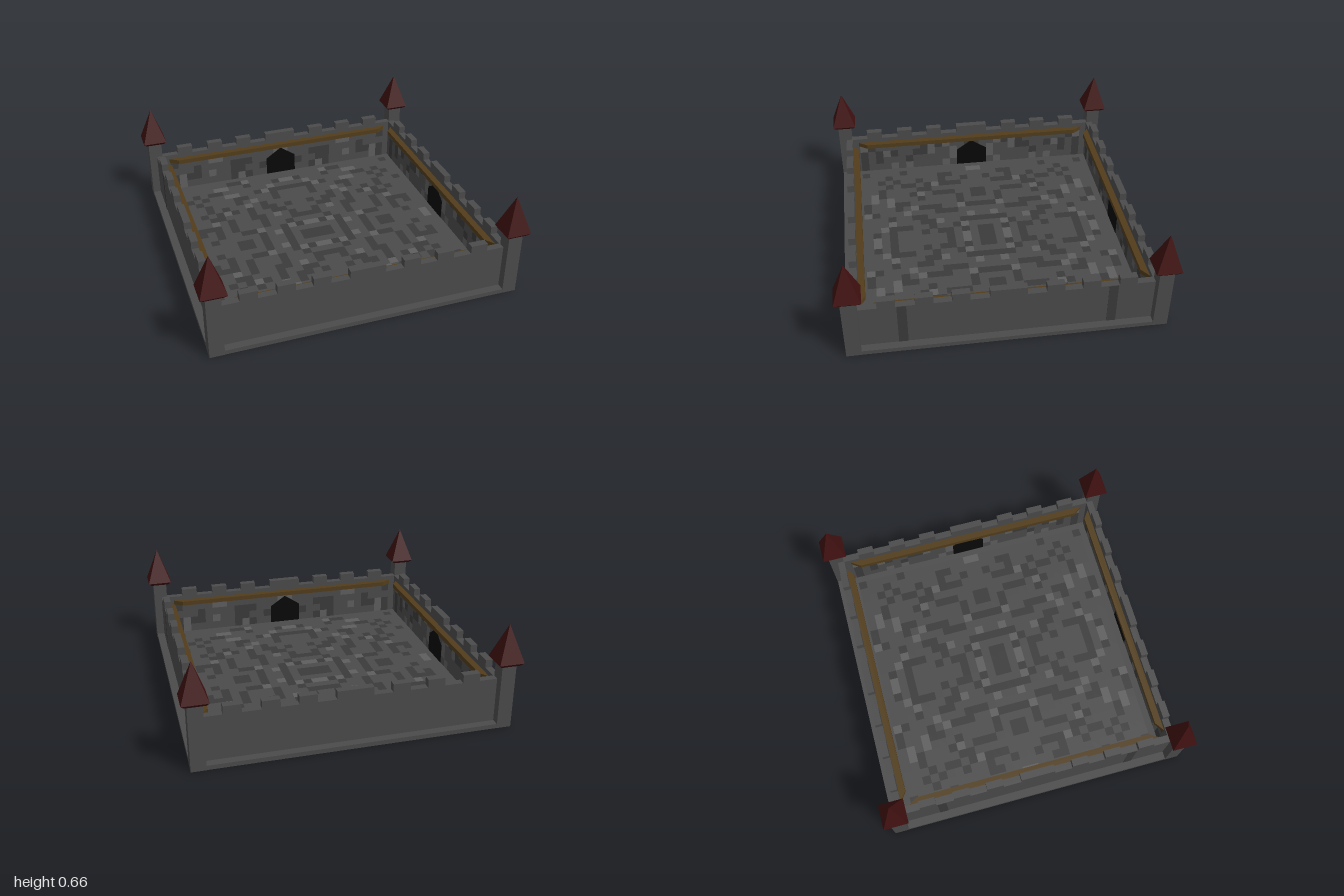
import * as THREE from 'three';
import { mergeGeometries } from 'three/addons/utils/BufferGeometryUtils.js';

const mat = (color) => new THREE.MeshStandardMaterial({ color, flatShading: true });
const stone = mat(0x4b4b4b), darkStone = mat(0x3b3b3b), paleStone = mat(0x5e5e5e);
const roofRed = mat(0x401010), wood = mat(0x523d1b), black = mat(0x080808);

const OUT = 0.965, WALL_OUT = 0.915, WALL_IN = 0.87, FLOOR = 0.028, WALL_TOP = 0.31;

function add(parent, name, geometry, material, x = 0, y = 0, z = 0) {
  const mesh = new THREE.Mesh(geometry, material);
  mesh.name = name;
  mesh.position.set(x, y, z);
  parent.add(mesh);
  return mesh;
}

// Box given by its lower and upper limits
function block(parent, name, material, x0, x1, y0, y1, z0, z1) {
  return add(parent, name, new THREE.BoxGeometry(x1 - x0, y1 - y0, z1 - z0), material,
    (x0 + x1) / 2, (y0 + y1) / 2, (z0 + z1) / 2);
}

function seeded(seed) {
  return () => {
    seed = (seed * 16807) % 2147483647;
    return seed / 2147483647;
  };
}

// Square paving in three shades, mirrored left to right and optionally top to bottom
function paving(name, cols, rows, size, seed, mirrorRows) {
  const rand = seeded(seed);
  const shades = Array.from({ length: cols * rows }, () => {
    const r = rand();
    return r < 0.27 ? 1 : r < 0.4 ? 2 : 0;
  });
  const sets = [[], [], []];
  for (let j = 0; j < rows; j++) {
    for (let i = 0; i < cols; i++) {
      const mi = Math.min(i, cols - 1 - i);
      const mj = mirrorRows ? Math.min(j, rows - 1 - j) : j;
      const tile = new THREE.PlaneGeometry(size, size);
      tile.translate((i - (cols - 1) / 2) * size, (j - (rows - 1) / 2) * size, 0);
      sets[shades[mj * cols + mi]].push(tile);
    }
  }
  const group = new THREE.Group();
  group.name = name;
  [stone, darkStone, paleStone].forEach((m, k) => {
    if (sets[k].length) add(group, name + 'Shade' + k, mergeGeometries(sets[k]), m);
  });
  return group;
}

// One wall, standing at the back and facing the courtyard
function wallSide(name, seed, withStrips) {
  const side = new THREE.Group();
  side.name = name;
  block(side, 'wall', stone, -0.88, 0.88, FLOOR, WALL_TOP, -WALL_OUT, -WALL_IN);

  // Battlements: a wide one in the middle, three on each side
  block(side, 'merlon', stone, -0.11, 0.11, WALL_TOP, 0.36, -WALL_OUT, -WALL_IN);
  for (const s of [-1, 1]) {
    for (const c of [0.278, 0.492, 0.712]) {
      block(side, 'merlon', stone, s * c - 0.053, s * c + 0.053, WALL_TOP, 0.36, -WALL_OUT, -WALL_IN);
    }
    // Dark upright bands on the outer face
    if (withStrips) {
      block(side, 'outerBand', darkStone, s * 0.625 - 0.028, s * 0.625 + 0.028, FLOOR, WALL_TOP - 0.001,
        -WALL_OUT - 0.002, -WALL_OUT + 0.005);
    }
  }

  // Brickwork on the courtyard face
  const bricks = paving('innerBricks', 30, 4, 0.055, seed, false);
  bricks.position.set(0, FLOOR + 0.11, -WALL_IN + 0.001);
  side.add(bricks);

  // Wooden rail with ends cut at a slant
  const rail = new THREE.BoxGeometry(1.66, 0.03, 0.042);
  const p = rail.attributes.position;
  for (let i = 0; i < p.count; i++) {
    if (p.getZ(i) > 0) p.setX(i, Math.sign(p.getX(i)) * 0.77);
  }
  rail.computeVertexNormals();
  add(side, 'woodRail', rail, wood, 0, 0.266, -WALL_IN + 0.021);

  // Pointed dark doorway
  const arch = new THREE.Shape();
  arch.moveTo(-0.11, 0);
  arch.lineTo(0.11, 0);
  arch.lineTo(0.11, 0.13);
  arch.lineTo(0, 0.205);
  arch.lineTo(-0.11, 0.13);
  add(side, 'doorway', new THREE.ShapeGeometry(arch), black, 0, FLOOR, -WALL_IN + 0.003);
  return side;
}

// Square corner tower with a flared spire
function tower(x, z) {
  const group = new THREE.Group();
  group.name = 'cornerTower';
  group.position.set(x, 0, z);
  const R = Math.SQRT2;
  block(group, 'towerShaft', stone, -0.045, 0.045, 0, 0.42, -0.045, 0.045);
  const eaves = add(group, 'roofEaves', new THREE.CylinderGeometry(0.078 * R, 0.06 * R, 0.02, 4), roofRed, 0, 0.424, 0);
  const spire = add(group, 'roofSpire', new THREE.CylinderGeometry(0, 0.078 * R, 0.228, 4), roofRed, 0, 0.548, 0);
  eaves.rotation.y = spire.rotation.y = Math.PI / 4;
  return group;
}

export function createModel() {
  const model = new THREE.Group();
  model.name = 'castleCourtyard';

  block(model, 'base', stone, -OUT, OUT, 0, FLOOR, -OUT, OUT);

  const floor = paving('courtyardFloor', 30, 30, 0.055, 4711, true);
  floor.rotation.x = -Math.PI / 2;
  floor.position.y = FLOOR + 0.001;
  model.add(floor);

  // Four walls turned around the centre, with bands on the left and right ones
  ['backWall', 'rightWall', 'frontWall', 'leftWall'].forEach((name, k) => {
    const side = wallSide(name, 991 + (k % 2) * 57, k % 2 === 1);
    side.rotation.y = (k * Math.PI) / 2;
    model.add(side);
  });

  for (const sx of [-1, 1]) {
    for (const sz of [-1, 1]) model.add(tower(sx * 0.921, sz * 0.921));
  }
  return model;
}
